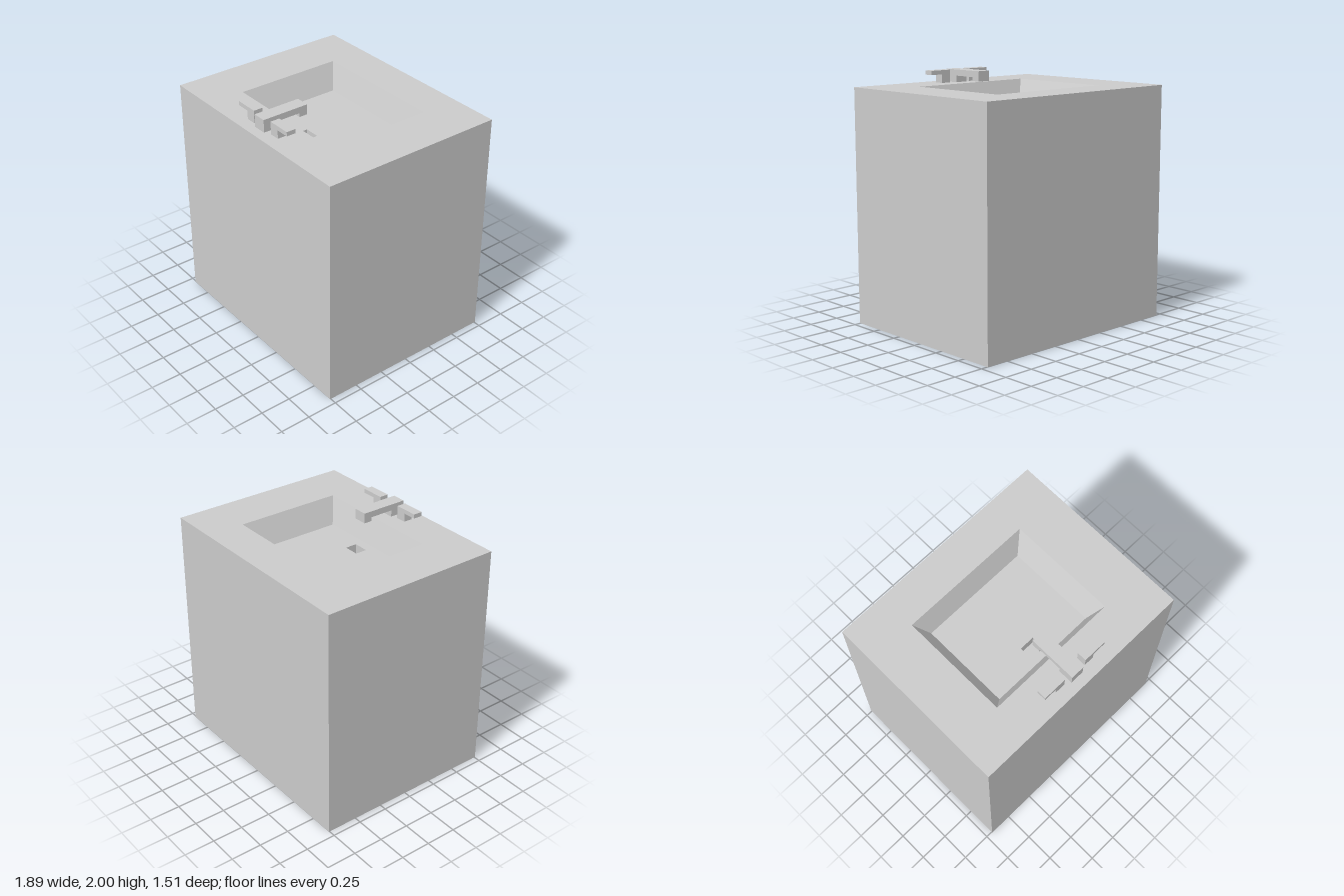
import * as THREE from 'three';

const material = new THREE.MeshStandardMaterial({ color: 0xcccccc, flatShading: true });

// Four corners of a level rectangle, counter-clockwise from above
const ring = (y, x0, x1, z0, z1) => [[x0, y, z1], [x1, y, z1], [x1, y, z0], [x0, y, z0]];

// Closed solid skinned through successive rectangles, capped at both ends
function loftRings(rings) {
  const pos = [];
  const quad = (a, b, c, d) => pos.push(...a, ...b, ...c, ...a, ...c, ...d);
  quad(...[...rings[0]].reverse());
  for (let r = 0; r < rings.length - 1; r++) {
    const a = rings[r], b = rings[r + 1];
    for (let i = 0; i < 4; i++) {
      const j = (i + 1) % 4;
      quad(a[i], a[j], b[j], b[i]);
    }
  }
  quad(...rings[rings.length - 1]);
  const geometry = new THREE.BufferGeometry();
  geometry.setAttribute('position', new THREE.Float32BufferAttribute(pos, 3));
  geometry.computeVertexNormals();
  return geometry;
}

// Straight extrusion of a 2D outline
function extrude(points, depth) {
  const shape = new THREE.Shape(points.map(([x, y]) => new THREE.Vector2(x, y)));
  return new THREE.ExtrudeGeometry(shape, { depth, bevelEnabled: false });
}

export function createModel() {
  const group = new THREE.Group();
  const add = (name, geometry) => {
    const mesh = new THREE.Mesh(geometry, material);
    mesh.name = name;
    group.add(mesh);
    return mesh;
  };
  const top = 1.897;

  // Cabinet with sunken sloping basin and square drain, one continuous skin
  add('cabinetWithBasin', loftRings([
    ring(0, -0.945, 0.945, -0.757, 0.757),
    ring(top, -0.945, 0.945, -0.757, 0.757),
    ring(top, -0.55, 0.55, -0.442, 0.439),
    ring(1.697, -0.45, 0.45, -0.362, 0.358),
    ring(1.697, -0.064, 0.062, 0.19, 0.287),
    ring(1.6, -0.064, 0.062, 0.19, 0.287),
  ]));

  // Faucet side outline (distance along -z, height), extruded across x
  const faucet = add('faucet', extrude([
    [-0.677, top], [-0.554, top], [-0.554, 1.95], [-0.356, 1.95],
    [-0.356, 1.918], [-0.286, 1.918], [-0.286, 2], [-0.677, 2],
  ], 0.112));
  faucet.rotation.y = Math.PI / 2;
  faucet.position.x = -0.042;

  // Mirrored handles: upright post with an outward lever
  for (const [name, side] of [['leftHandle', 1], ['rightHandle', -1]]) {
    const outline = [
      [-0.098, top], [-0.013, top], [-0.013, 1.966],
      [0.098, 1.966], [0.098, 2], [-0.098, 2],
    ].map(([x, y]) => [x * side, y]);
    const handle = add(name, extrude(outline, 0.076));
    handle.position.set(side > 0 ? 0.217 : -0.187, 0, 0.575);
  }
  return group;
}
